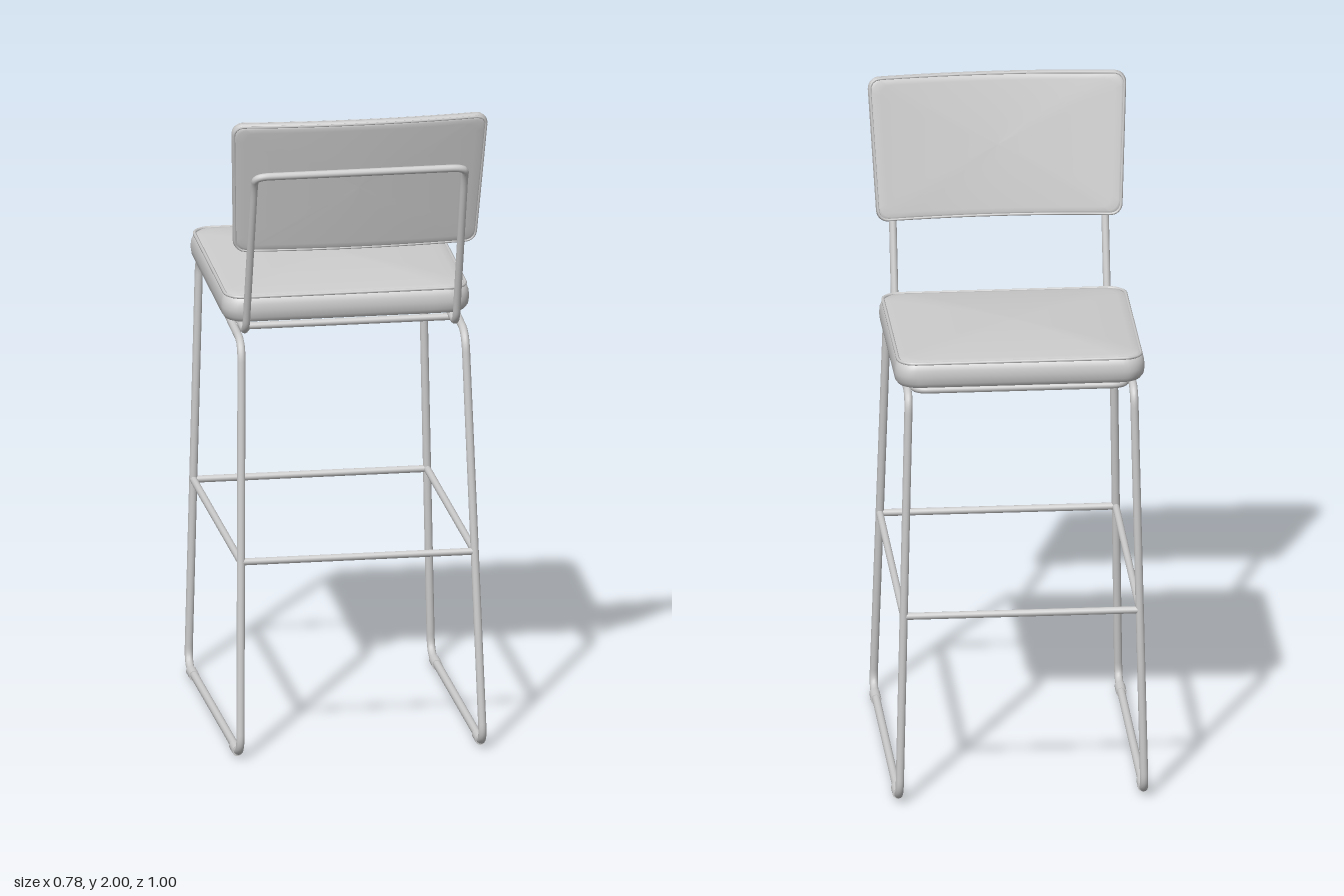
import * as THREE from 'three';

const mat = new THREE.MeshStandardMaterial({ color: 0xcccccc });
const V = (x, y, z) => new THREE.Vector3(x, y, z);
const TUBE = 0.0125;

function add(parent, name, geometry) {
  const m = new THREE.Mesh(geometry, mat);
  m.name = name;
  parent.add(m);
  return m;
}

// Bent tube: straight runs with rounded corners; closed paths start mid-run
function bentTube(pts, bend, radius, closed, segments) {
  const path = new THREE.CurvePath();
  let from = pts[0];
  const last = closed ? pts.length : pts.length - 1;
  for (let i = 1; i < last; i++) {
    const p = pts[i], next = pts[(i + 1) % pts.length];
    const dIn = Math.min(bend, p.distanceTo(pts[i - 1]) * 0.48);
    const dOut = Math.min(bend, p.distanceTo(next) * 0.48);
    const a = p.clone().add(pts[i - 1].clone().sub(p).setLength(dIn));
    const b = p.clone().add(next.clone().sub(p).setLength(dOut));
    path.add(new THREE.LineCurve3(from, a));
    path.add(new THREE.QuadraticBezierCurve3(a, p, b));
    from = b;
  }
  path.add(new THREE.LineCurve3(from, closed ? pts[0] : pts[pts.length - 1]));
  path.arcLengthDivisions = 600;
  return new THREE.TubeGeometry(path, segments, radius, 12, closed);
}

// Straight bar between two points
function bar(a, b, radius) {
  return new THREE.TubeGeometry(new THREE.LineCurve3(a, b), 1, radius, 12);
}

// Rounded rectangle outline, counter-clockwise
function outline(hw, hh, r) {
  const out = [];
  const corners = [[1, 1], [-1, 1], [-1, -1], [1, -1]];
  const arcs = corners.map(([sx, sy], k) => {
    const arc = [];
    for (let i = 0; i <= 8; i++) {
      const t = (k + i / 8) * Math.PI / 2;
      arc.push([sx * (hw - r) + r * Math.cos(t), sy * (hh - r) + r * Math.sin(t)]);
    }
    return arc;
  });
  arcs.forEach((arc, k) => {
    out.push(...arc);
    const a = arc[8], b = arcs[(k + 1) % 4][0];
    for (let i = 1; i < 12; i++) {
      out.push([a[0] + (b[0] - a[0]) * i / 12, a[1] + (b[1] - a[1]) * i / 12]);
    }
  });
  return out;
}

// Upholstered pad: rim rings [inset, height], domed caps, then bent by map()
function cushion(hw, hh, r, rim, domeLow, domeHigh, map) {
  const shape = outline(hw, hh, r), n = shape.length;
  const steps = [0, 0.3, 0.6, 0.82, 0.94];
  const first = rim[0], end = rim[rim.length - 1];
  const rings = [
    ...steps.map(s => [first[0], first[1] - domeLow * (1 - s * s), s]),
    ...rim.map(([inset, h]) => [inset, h, 1]),
    ...[...steps].reverse().map(s => [end[0], end[1] + domeHigh * (1 - s * s), s]),
  ];
  const pos = [], index = [];
  rings.forEach(([inset, h, s], i) => {
    shape.forEach(([u, v], j) => {
      pos.push(...map(u * (1 - inset / hw) * s, v * (1 - inset / hh) * s, h).toArray());
      if (i === rings.length - 1) return;
      const k = (j + 1) % n;
      const a = i * n + j, b = i * n + k, c = b + n, d = a + n;
      index.push(a, b, c, a, c, d);
    });
  });
  const g = new THREE.BufferGeometry();
  g.setAttribute('position', new THREE.Float32BufferAttribute(pos, 3));
  g.setIndex(index);
  g.computeVertexNormals();
  return g;
}

// Piping cord following the pad outline
function piping(hw, hh, r, inset, h, radius, map) {
  const pts = outline(hw - inset, hh - inset, r - inset).map(([u, v]) => map(u, v, h));
  return new THREE.TubeGeometry(new THREE.CatmullRomCurve3(pts, true), 200, radius, 6, true);
}

export function createModel() {
  const model = new THREE.Group();
  model.name = 'barStool';

  // Side frames: sled base, two splayed legs and a seat rail in one loop
  const legX = y => 0.372 - 0.03 * y / 1.3;
  const railY = z => 1.291 - 0.0575 * z;
  const sidePath = [[0, 0.018], [-0.486, 0.018], [-0.465, railY(-0.465)], [0.335, railY(0.335)], [0.492, 0.018]];
  for (const s of [1, -1]) {
    const side = s > 0 ? 'left' : 'right';
    const pts = sidePath.map(([z, y]) => V(s * legX(y), y, z));
    add(model, side + 'SideFrame', bentTube(pts, 0.06, TUBE, true, 420));
    // Floor glides
    for (const z of [0.41, -0.4]) {
      const glide = add(model, side + 'Glide', new THREE.CylinderGeometry(0.016, 0.016, 0.06, 14));
      glide.rotation.x = Math.PI / 2;
      glide.position.set(s * 0.372, 0.016, z);
    }
  }

  // Footrest bars
  const fy = 0.605, fx = legX(fy), zRear = 0.418, zFront = -0.476;
  for (const z of [zFront, zRear]) add(model, 'footrestCrossBar', bar(V(-fx, fy, z), V(fx, fy, z), 0.011));
  for (const x of [-fx, fx]) add(model, 'footrestSideBar', bar(V(x, fy, zFront), V(x, fy, zRear), 0.011));

  // Back frame: one loop under the seat, up behind the backrest and across
  const half = [[-0.425, railY(-0.425)], [0.288, 1.287], [0.446, 1.795], [0.474, 1.832]];
  const bx = 0.322;
  const leftHalf = half.map(([z, y]) => V(bx, y, z));
  const rightHalf = half.map(([z, y]) => V(-bx, y, z)).reverse();
  add(model, 'backFrame', bentTube([V(0, railY(-0.425), -0.425), ...leftHalf, ...rightHalf], 0.045, 0.0115, true, 420));
  add(model, 'seatCrossBar', bar(V(-0.34, railY(0.19), 0.19), V(0.34, railY(0.19), 0.19), 0.011));

  // Seat pad, tilted up slightly toward its front edge
  const seatMap = (u, v, h) => {
    const z = -0.107 - v;
    return V(u, 1.307 - 0.036 * z + h, z);
  };
  const seatRim = [[0.03, 0], [0.012, 0.006], [0.003, 0.02], [0, 0.042], [0.002, 0.062], [0.008, 0.078], [0.018, 0.086]];
  add(model, 'seat', cushion(0.38, 0.348, 0.065, seatRim, 0, 0.023, seatMap));
  add(model, 'seatPiping', piping(0.38, 0.348, 0.065, 0.012, 0.083, 0.0055, seatMap));

  // Backrest pad, leaning back, curved around the sitter and wider at the top
  const backMap = (u, v, h) => {
    const x = u * (1 + 0.13 * v);
    const sag = 0.025 * (1 - (x / 0.39) ** 2);
    return V(x, 1.783 + v - 0.2 * h, 0.404 + 0.245 * v + sag + h);
  };
  const backRim = [[0.014, -0.015], [0.004, -0.011], [0, 0], [0.004, 0.011], [0.014, 0.015]];
  add(model, 'backrest', cushion(0.383, 0.215, 0.035, backRim, 0.004, 0.002, backMap));
  for (const h of [-0.012, 0.012]) {
    add(model, 'backrestPiping', piping(0.383, 0.215, 0.035, 0.006, h, 0.004, backMap));
  }
  return model;
}
